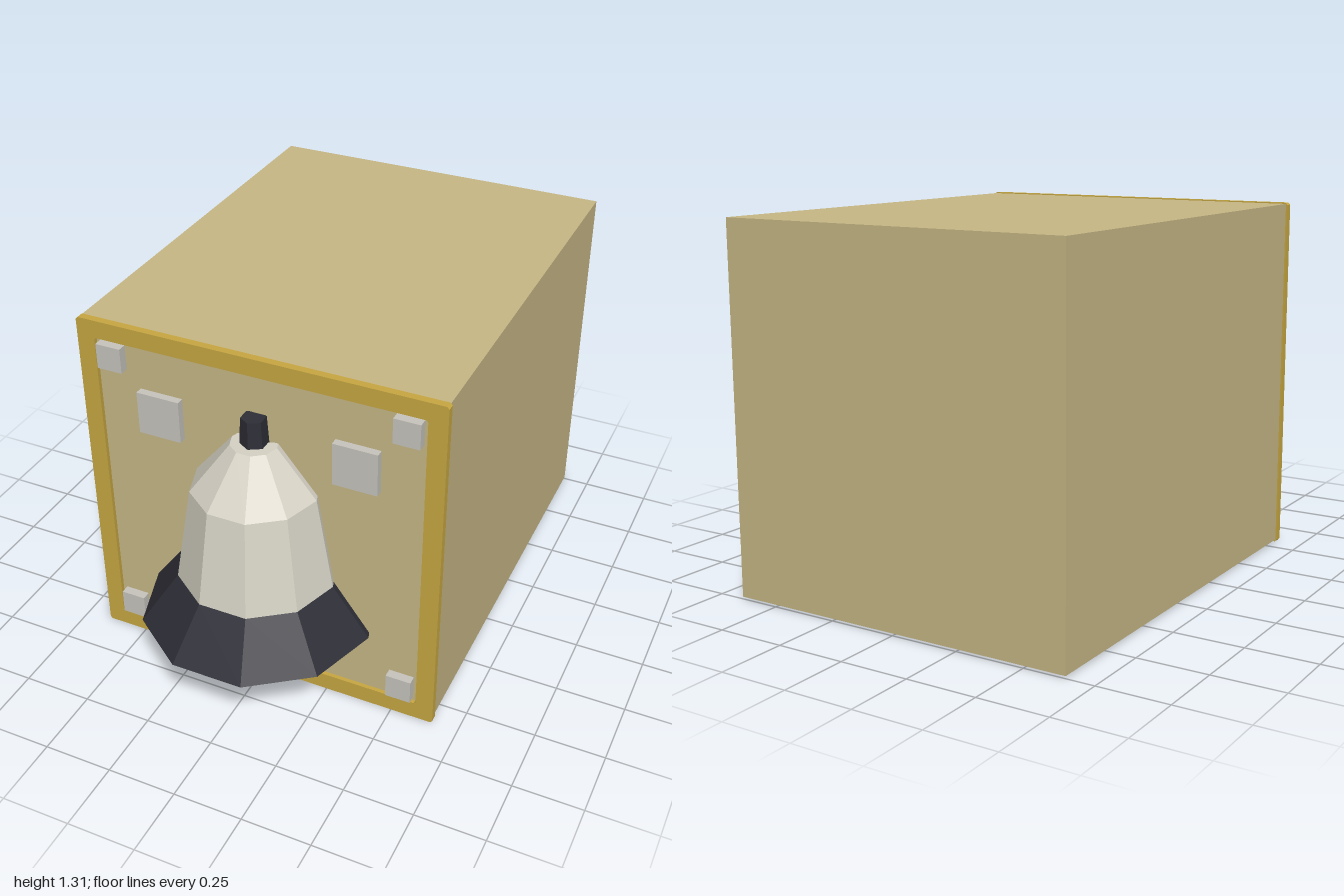
import * as THREE from 'three';

const mat = (name, color) => {
  const m = new THREE.MeshStandardMaterial({ color });
  m.name = name;
  m.flatShading = true;
  return m;
};

export function createModel() {
  const root = new THREE.Group();
  root.name = 'bellBox';
  const tan = mat('tan box', 0xc8b886);
  const gold = mat('gold trim', 0xc8a843);
  const silver = mat('silver plate', 0xc8c5bd);
  const ivory = mat('ivory bell', 0xd6d2c5);
  const dark = mat('dark metal', 0x2e2e37);

  const add = (name, geometry, material, x = 0, y = 0, z = 0) => {
    const mesh = new THREE.Mesh(geometry, material);
    mesh.name = name;
    mesh.position.set(x, y, z);
    root.add(mesh);
    return mesh;
  };

  // Housing
  add('housing', new THREE.BoxGeometry(1.3, 1.3, 1.58), tan, 0, 0.66, -0.21);

  // Square frame with clipped corners around the front panel
  const clippedSquare = (PathType, h, c) => new PathType([
    [h - c, -h], [h, -h + c], [h, h - c], [h - c, h],
    [-h + c, h], [-h, h - c], [-h, -h + c], [-h + c, -h],
  ].map(([x, y]) => new THREE.Vector2(x, y)));
  const frame = clippedSquare(THREE.Shape, 0.656, 0.008);
  frame.holes.push(clippedSquare(THREE.Path, 0.591, 0.006));
  add('frontFrame', new THREE.ExtrudeGeometry(frame, { depth: 0.027, bevelEnabled: false }),
    gold, 0, 0.658, 0.568);

  // Square plates on the panel
  for (const side of [-1, 1]) {
    for (const y of [0.128, 1.193]) {
      add('cornerPlate', new THREE.BoxGeometry(0.092, 0.092, 0.035), silver, side * 0.53, y, 0.5955);
    }
    add('upperPlate', new THREE.BoxGeometry(0.158, 0.158, 0.03), silver, side * 0.357, 1.005, 0.593);
  }

  // Half bell: ten-sided turning, its last facets trimmed just behind the panel
  const bellZ = 0.605, trim = 0.03;
  const halfTurned = (profile) => {
    const step = Math.PI / 5;
    const g = new THREE.LatheGeometry(
      profile.map(([r, y]) => new THREE.Vector2(r, y)), 7, -3.5 * step, 7 * step);
    const p = g.attributes.position;
    for (let i = 0; i < p.count; i++) {
      const z = p.getZ(i);
      if (z < -trim) {
        const x = p.getX(i);
        p.setXYZ(i, x + Math.sign(x) * 0.325 * (-z - trim), p.getY(i), -trim);
      }
    }
    g.computeVertexNormals();
    return g;
  };
  add('bellRim', halfTurned([[0, 0.315], [0.414, 0.315], [0.28, 0.495]]), dark, 0, 0, bellZ);
  add('bellBody', halfTurned([[0.28, 0.495], [0.222, 0.84], [0.082, 1.008], [0, 1.008]]),
    ivory, 0, 0, bellZ);

  // Hanger and clapper
  add('bellHanger', new THREE.CylinderGeometry(0.043, 0.049, 0.105, 6), dark, 0, 1.053, bellZ);
  add('clapper', new THREE.SphereGeometry(0.066, 8, 4), dark, 0, 0.291, bellZ + 0.003);

  return root;
}
